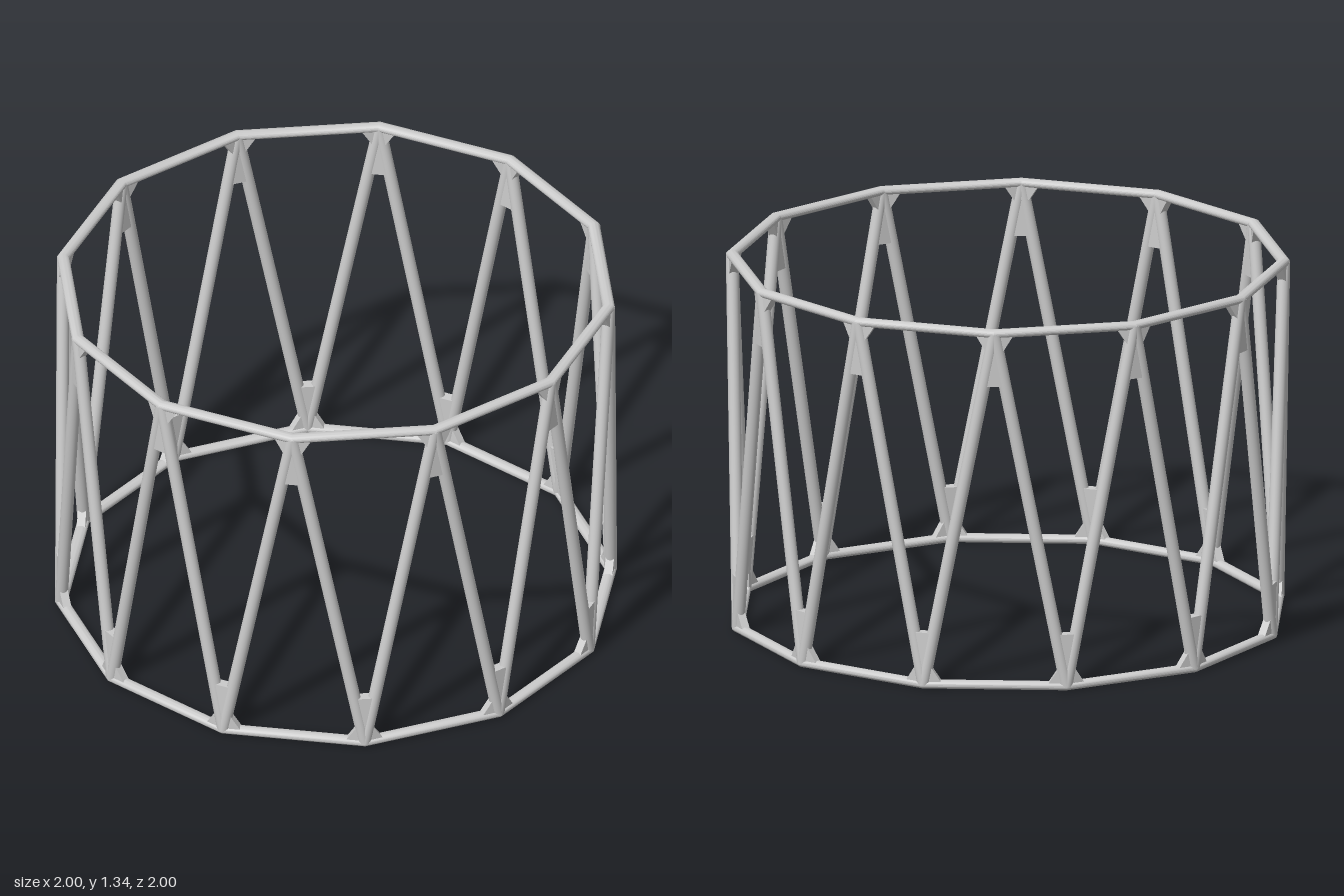
import * as THREE from 'three';
import { toCreasedNormals } from 'three/addons/utils/BufferGeometryUtils.js';

const SIDES = 12, RADIUS = 0.979, ROD = 0.0225, HALF_HEIGHT = 0.016;
const BOTTOM = HALF_HEIGHT, TOP = 1.335 - HALF_HEIGHT;
const material = new THREE.MeshStandardMaterial({ color: 0xcccccc });

// Joint at a whole step (bottom ring) or half step (top ring) around the circle
function joint(step, y) {
  const a = (step / SIDES) * Math.PI * 2;
  return new THREE.Vector3(RADIUS * Math.cos(a), y, RADIUS * Math.sin(a));
}

function add(parent, geometry, name) {
  const mesh = new THREE.Mesh(geometry, material);
  mesh.name = name;
  parent.add(mesh);
  return mesh;
}

// Twelve-sided hoop of slightly flattened rod with mitred corners
function addRing(parent, y, turn, name) {
  const g = new THREE.TorusGeometry(RADIUS, ROD, 24, SIDES);
  g.scale(1, 1, HALF_HEIGHT / ROD);
  g.rotateX(Math.PI / 2);
  g.rotateY(turn);
  add(parent, toCreasedNormals(g, 0.46), name).position.y = y;
}

// Round rod between two joints
function addStrut(parent, a, b) {
  const d = b.clone().sub(a);
  const m = add(parent, new THREE.CylinderGeometry(ROD, ROD, d.length(), 20), 'strut');
  m.position.copy(a).addScaledVector(d, 0.5);
  m.quaternion.setFromUnitVectors(new THREE.Vector3(0, 1, 0), d.normalize());
}

// Triangular plate filling the corner at v, reaching p and q along its two rods
function addWeb(parent, v, toP, lenP, toQ, lenQ, thickness) {
  const u = toP.clone().sub(v).normalize();
  const e = toQ.clone().sub(v).normalize();
  const n = u.clone().cross(e).normalize();
  const w = n.clone().cross(u);
  const shape = new THREE.Shape();
  shape.moveTo(0, 0);
  shape.lineTo(lenP, 0);
  shape.lineTo(e.dot(u) * lenQ, e.dot(w) * lenQ);
  shape.closePath();
  const g = new THREE.ExtrudeGeometry(shape, { depth: thickness, bevelEnabled: false });
  g.translate(0, 0, -thickness / 2);
  g.applyMatrix4(new THREE.Matrix4().makeBasis(u, w, n).setPosition(v));
  add(parent, g, 'cornerWeb');
}

// Webs in one triangular bay: a long one at the apex, short ones at the ring
function addBay(parent, apex, a, b) {
  addWeb(parent, apex, a, 0.195, b, 0.195, 0.038);
  addWeb(parent, a, b, 0.07, apex, 0.084, 0.03);
  addWeb(parent, b, a, 0.07, apex, 0.084, 0.03);
}

export function createModel() {
  const model = new THREE.Group();
  model.name = 'openDrumFrame';

  addRing(model, BOTTOM, 0, 'bottomRing');
  addRing(model, TOP, Math.PI / SIDES, 'topRing');

  // Zigzag struts around the drum
  const struts = new THREE.Group();
  struts.name = 'zigzagStruts';
  const webs = new THREE.Group();
  webs.name = 'cornerWebs';
  model.add(struts, webs);

  for (let i = 0; i < SIDES; i++) {
    const low = joint(i, BOTTOM), nextLow = joint(i + 1, BOTTOM);
    const high = joint(i + 0.5, TOP), nextHigh = joint(i + 1.5, TOP);
    addStrut(struts, low, high);
    addStrut(struts, high, nextLow);
    addBay(webs, high, low, nextLow);
    addBay(webs, nextLow, high, nextHigh);
  }
  return model;
}
